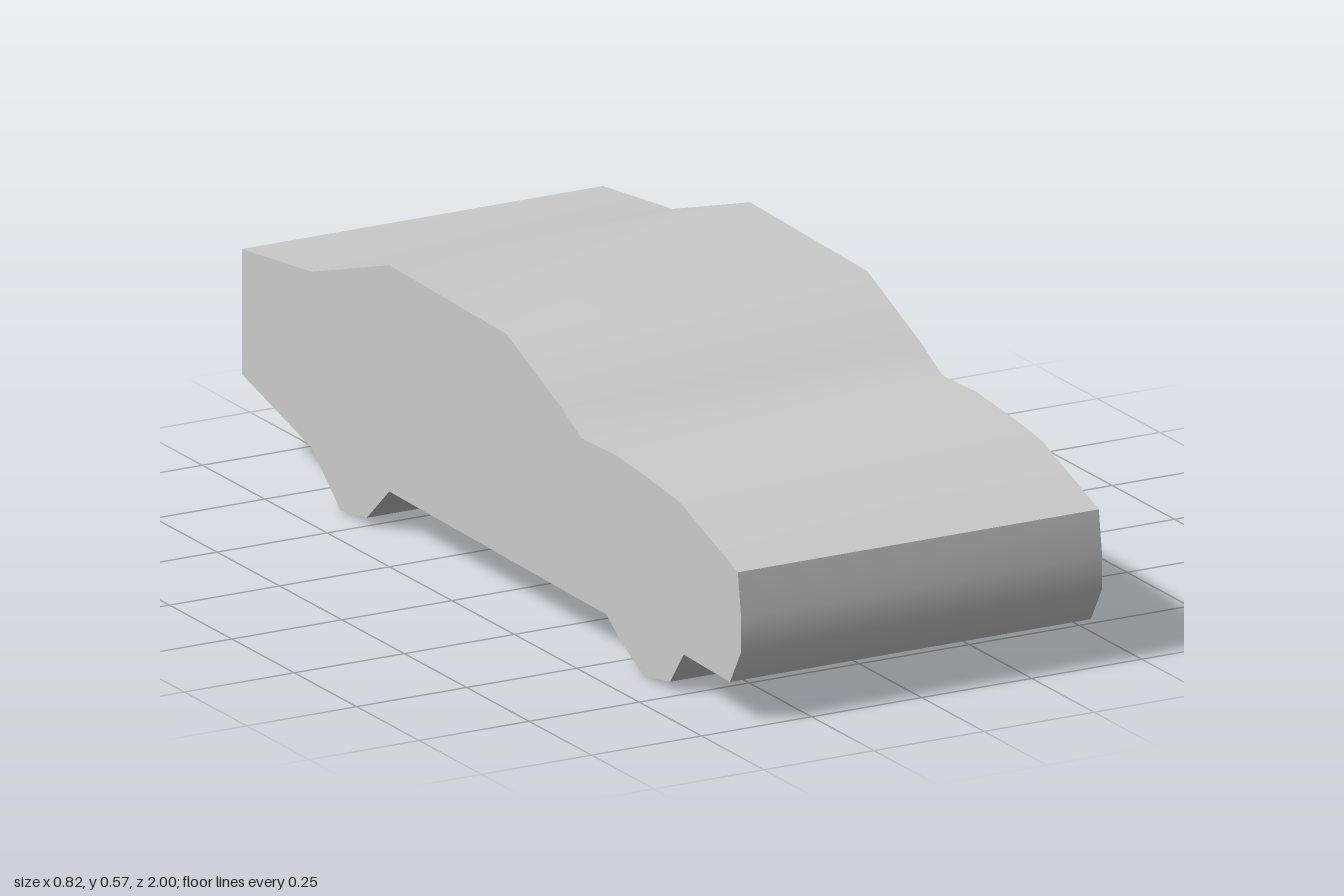
import * as THREE from 'three';
import { toCreasedNormals } from 'three/addons/utils/BufferGeometryUtils.js';

const WIDTH = 0.82;

// Side outline of the car as [z, y], starting at the nose
const roofLine = [
  [1, 0.16], [1, 0.23], [0.987, 0.322], [0.76, 0.4], [0.69, 0.41], [0.5, 0.428],
  [0.36, 0.424], [0.28, 0.465], [0.06, 0.556], [-0.41, 0.567], [-0.72, 0.466], [-1, 0.435],
];
const underside = [
  [-1, 0.175], [-0.72, 0.1], [-0.605, 0.003], [-0.5, 0.017], [-0.41, 0.097],
  [0.46, 0.086], [0.52, 0.045], [0.615, 0], [0.715, 0.018], [0.77, 0.09], [0.955, 0.085],
];

export function createModel() {
  const group = new THREE.Group();
  group.name = 'car';

  const outline = new THREE.Shape([...roofLine, ...underside].map(([z, y]) => new THREE.Vector2(z, y)));
  const extruded = new THREE.ExtrudeGeometry(outline, { depth: WIDTH, bevelEnabled: false });
  extruded.translate(0, 0, -WIDTH / 2);
  extruded.rotateY(-Math.PI / 2); // outline runs along z, width along x

  // Smooth along the body, sharp at the sides, nose and tail
  const geometry = toCreasedNormals(extruded, THREE.MathUtils.degToRad(44));
  const body = new THREE.Mesh(geometry, new THREE.MeshStandardMaterial({ color: 0xcccccc }));
  body.name = 'carBody';
  group.add(body);
  return group;
}
